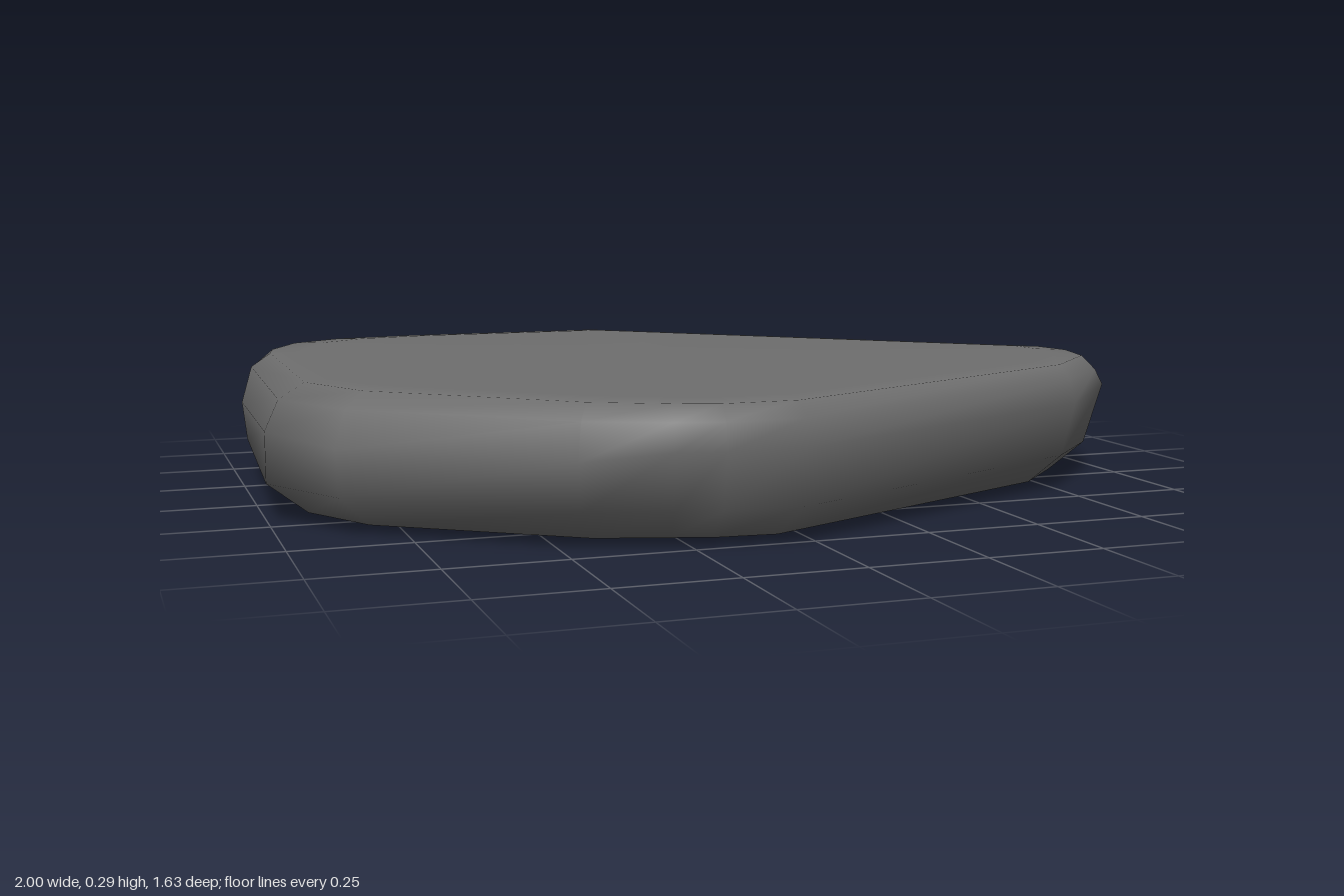
import * as THREE from 'three';

// Outline of the slab, clockwise from above:
// x, z, rim height, top bevel, bottom bevel, undercut of the lower wall
const OUTLINE = [
  [-0.98, -0.45, 0.17, 0.07, 0.10, 0.01], [-0.95, -0.55, 0.15, 0.06, 0.10, 0.02],
  [-0.86, -0.70, 0.14, 0.05, 0.10, 0.03], [-0.72, -0.79, 0.13, 0.05, 0.10, 0.03],
  [-0.52, -0.82, 0.13, 0.05, 0.10, 0.03], [0.00, -0.815, 0.13, 0.05, 0.10, 0.03],
  [0.10, -0.75, 0.15, 0.06, 0.10, 0.03], [0.96, 0.00, 0.21, 0.06, 0.12, 0.03],
  [1.00, 0.13, 0.23, 0.07, 0.13, 0.04], [0.94, 0.28, 0.22, 0.05, 0.12, 0.04],
  [0.77, 0.44, 0.20, 0.04, 0.11, 0.03], [-0.04, 0.815, 0.20, 0.04, 0.11, 0.02],
  [-0.21, 0.815, 0.20, 0.04, 0.12, 0.03], [-0.31, 0.795, 0.20, 0.05, 0.13, 0.03],
  [-0.48, 0.73, 0.18, 0.07, 0.12, 0.02], [-0.89, 0.41, 0.18, 0.09, 0.10, 0.01],
  [-1.00, 0.19, 0.19, 0.09, 0.09, 0.00],
];

// Outward direction at each outline corner
function outward(i) {
  const n = OUTLINE.length;
  const a = OUTLINE[(i + n - 1) % n], b = OUTLINE[i], c = OUTLINE[(i + 1) % n];
  const before = new THREE.Vector2(b[1] - a[1], a[0] - b[0]).normalize();
  const after = new THREE.Vector2(c[1] - b[1], b[0] - c[0]).normalize();
  return before.add(after).normalize();
}

// Cross-section from bottom to top: [inset, height, shrink toward the middle]
function section(rim, top, bottom, undercut) {
  return [
    [bottom, 0, 0.5],
    [bottom, 0.004, 0.93],
    [bottom, 0.01, 1],
    [undercut, 0.08, 1],
    [0, rim, 1],
    [top * 0.35, 0.255, 1],
    [top, 0.287, 1],
    [top, 0.291, 0.92],
    [top, 0.294, 0.5],
  ];
}

function slabGeometry() {
  const n = OUTLINE.length;
  const positions = [], index = [];
  const columns = OUTLINE.map(([x, z, ...profile], i) => {
    const d = outward(i);
    return section(...profile).map(([inset, y, s]) =>
      [(x - d.x * inset) * s, y, (z - d.y * inset) * s]);
  });
  const rings = columns[0].length;
  for (let r = 0; r < rings; r++) {
    for (let i = 0; i < n; i++) positions.push(...columns[i][r]);
  }
  // Walls and bevels
  for (let r = 0; r < rings - 1; r++) {
    for (let i = 0; i < n; i++) {
      const j = (i + 1) % n;
      const a = r * n + i, b = r * n + j, c = a + n, d = b + n;
      index.push(a, c, b, b, c, d);
    }
  }
  // Centres of the two broad faces
  const low = rings * n, high = low + 1, last = (rings - 1) * n;
  positions.push(0, 0, 0, 0, 0.295, 0);
  for (let i = 0; i < n; i++) {
    const j = (i + 1) % n;
    index.push(low, i, j, high, last + j, last + i);
  }
  const geometry = new THREE.BufferGeometry();
  geometry.setAttribute('position', new THREE.Float32BufferAttribute(positions, 3));
  geometry.setIndex(index);
  geometry.computeVertexNormals();
  return geometry;
}

export function createModel() {
  const group = new THREE.Group();
  group.name = 'flatStone';
  const stone = new THREE.Mesh(slabGeometry(), new THREE.MeshStandardMaterial({ color: 0x6e6e6e }));
  stone.name = 'stoneSlab';
  group.add(stone);
  return group;
}
